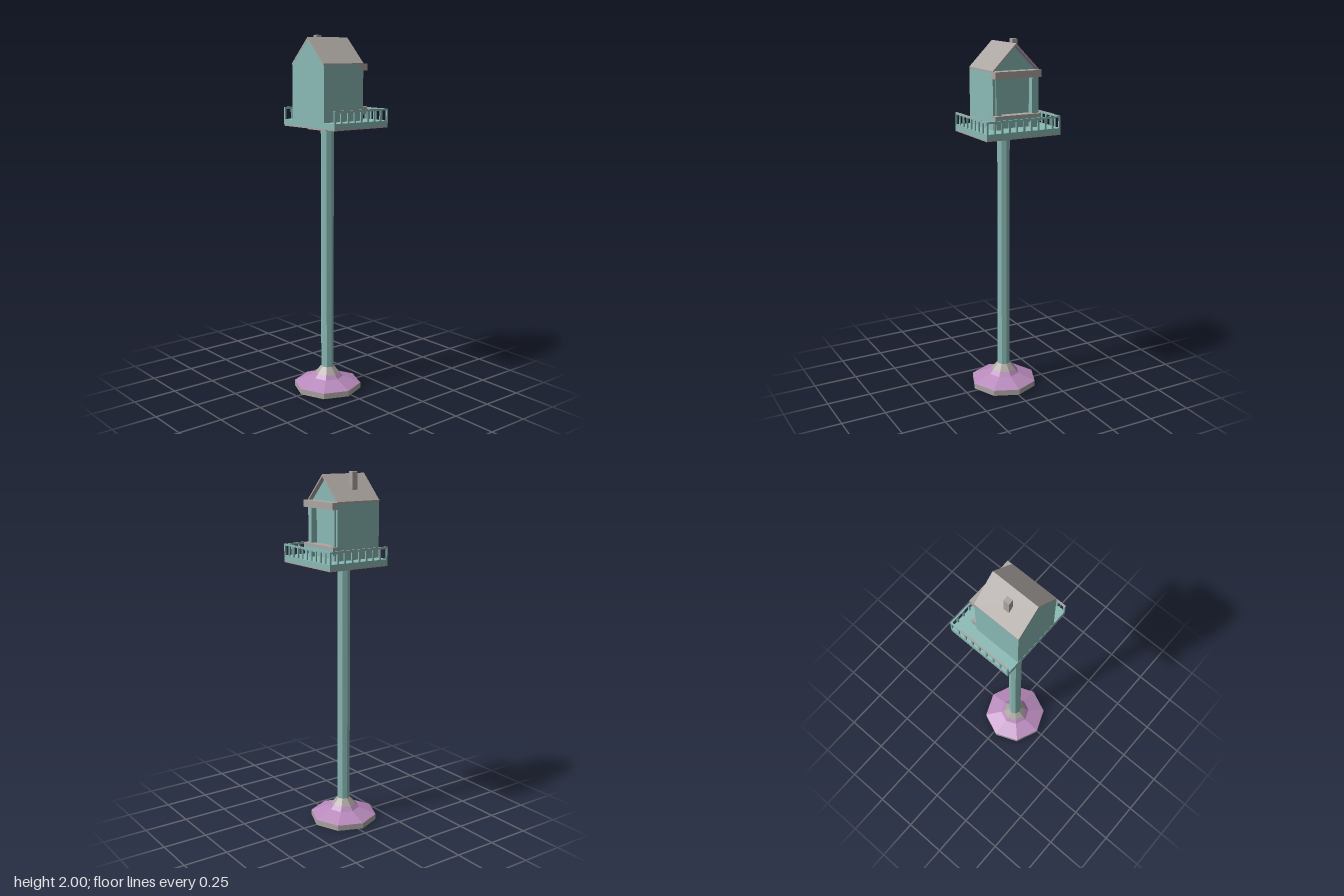
import * as THREE from 'three';

const mat = (name, color, extra = {}) => {
  const m = new THREE.MeshStandardMaterial({ color, flatShading: true, ...extra });
  m.name = name;
  return m;
};

export function createModel() {
  const teal = mat('teal', 0x8abab5);
  const grey = mat('warm grey', 0xaca6a2);
  const purple = mat('purple', 0xb88abc);

  const model = new THREE.Group();
  model.name = 'towerHouse';
  const CX = -0.005, CZ = 0.024; // axis of the post

  const add = (parent, name, geo, material) => {
    const m = new THREE.Mesh(geo, material);
    m.name = name;
    parent.add(m);
    return m;
  };
  // box given by its min and max corners
  const box = (parent, name, material, x0, x1, y0, y1, z0, z1) => {
    const m = add(parent, name, new THREE.BoxGeometry(x1 - x0, y1 - y0, z1 - z0), material);
    m.position.set((x0 + x1) / 2, (y0 + y1) / 2, (z0 + z1) / 2);
    return m;
  };
  // octagonal section between two heights
  const octagon = (parent, name, material, r0, r1, y0, y1, open = true) => {
    const m = add(parent, name, new THREE.CylinderGeometry(r1, r0, y1 - y0, 8, 1, open), material);
    m.position.set(CX, (y0 + y1) / 2, CZ);
    return m;
  };
  // outline in x,y swept along z
  const prism = (parent, name, material, pts, z0, z1) => {
    const shape = new THREE.Shape(pts.map(p => new THREE.Vector2(...p)));
    const geo = new THREE.ExtrudeGeometry(shape, { depth: z1 - z0, bevelEnabled: false });
    geo.translate(0, 0, z0);
    return add(parent, name, geo, material);
  };

  // stepped foot and post
  const foot = new THREE.Group();
  foot.name = 'foot';
  model.add(foot);
  octagon(foot, 'footSlab', grey, 0.191, 0.191, 0, 0.032, false);
  octagon(foot, 'footSlope', purple, 0.191, 0.09, 0.032, 0.07);
  octagon(foot, 'footStep', purple, 0.09, 0.07, 0.07, 0.092);
  octagon(foot, 'footCollar', grey, 0.07, 0.037, 0.092, 0.13);
  octagon(model, 'post', teal, 0.036, 0.036, 0.1, 1.5);

  // platform with mounting plate
  const deck = new THREE.Group();
  deck.name = 'platform';
  model.add(deck);
  const X = 0.221, ZB = -0.217, ZF = 0.158;
  box(deck, 'deckUnderside', grey, -X, X, 1.505, 1.512, ZB, ZF);
  box(deck, 'deckSlab', teal, -X, X, 1.512, 1.542, ZB, ZF);
  box(deck, 'mountingPlate', grey, -0.08, 0.07, 1.492, 1.505, -0.05, 0.098);
  box(deck, 'mountingInset', teal, -0.055, 0.045, 1.49, 1.492, -0.026, 0.074);
  const hatch = add(deck, 'hatch', new THREE.CylinderGeometry(0.045, 0.045, 0.003, 8), purple);
  hatch.position.set(0.08, 1.504, 0.075);

  // railing on the back and both sides
  const railing = new THREE.Group();
  railing.name = 'railing';
  model.add(railing);
  const T = 0.008, Y0 = 1.54, Y1 = 1.597, Y2 = 1.607;
  box(railing, 'backHandrail', teal, -X, X, Y1, Y2, ZB, ZB + T);
  for (let i = 0; i <= 10; i++) {
    const x = -X + 0.005 + (i / 10) * (2 * X - 0.01);
    box(railing, 'backBaluster', teal, x - 0.005, x + 0.005, Y0, Y1, ZB, ZB + T);
  }
  for (const s of [-1, 1]) {
    const a = s < 0 ? -X : X - T, b = a + T;
    box(railing, 'sideHandrail', teal, a, b, Y1, Y2, ZB + T, ZF);
    box(railing, 'handrailCap', grey, a, b, Y2, Y2 + 0.002, -0.15, ZF);
    for (let i = 1; i <= 8; i++) {
      const z = ZB + 0.005 + (i / 8) * (ZF - ZB - 0.01);
      box(railing, 'sideBaluster', teal, a, b, Y0, Y1, z - 0.005, z + 0.005);
    }
  }

  // house body with a gable set back under the roof
  const house = new THREE.Group();
  house.name = 'house';
  model.add(house);
  const W = 0.1375, L = CX - W, R = CX + W, EAVE = 1.85, RIDGE = 1.987;
  prism(house, 'walls', teal, [
    [L, 1.54], [R, 1.54], [R, EAVE - 0.008], [CX, RIDGE - 0.012], [L, EAVE - 0.008],
  ], -0.09, 0.157);
  for (const s of [-1, 1]) {
    const at = (name, d0, d1, z0) => {
      const a = CX + s * d0, b = CX + s * d1;
      box(house, name, teal, Math.min(a, b), Math.max(a, b), 1.54, EAVE - 0.01, z0, -0.088);
    };
    at('sideWallEnd', W - 0.02, W, -0.115);
    at('porchColumn', W - 0.045, W - 0.015, -0.125);
  }

  // porch beam and parapet
  box(house, 'porchBeam', grey, L, R, 1.81, 1.847, -0.145, -0.088);
  box(house, 'porchParapet', teal, L, R, 1.575, 1.605, -0.145, -0.088);
  box(house, 'parapetCap', grey, L, R, 1.605, 1.618, -0.145, -0.088);

  // roof with soffit panel and chimney
  prism(house, 'roof', grey, [
    [L, EAVE - 0.01], [CX, RIDGE - 0.013], [R, EAVE - 0.01], [R, EAVE], [CX, RIDGE], [L, EAVE],
  ], -0.116, ZF);
  prism(house, 'roofSoffit', purple, [
    [L + 0.004, EAVE - 0.009], [CX, RIDGE - 0.016], [CX, RIDGE - 0.012], [L + 0.004, EAVE - 0.005],
  ], -0.114, -0.089);
  box(house, 'chimney', grey, -0.088, -0.059, 1.88, 2.0, 0.02, 0.053);

  return model;
}
